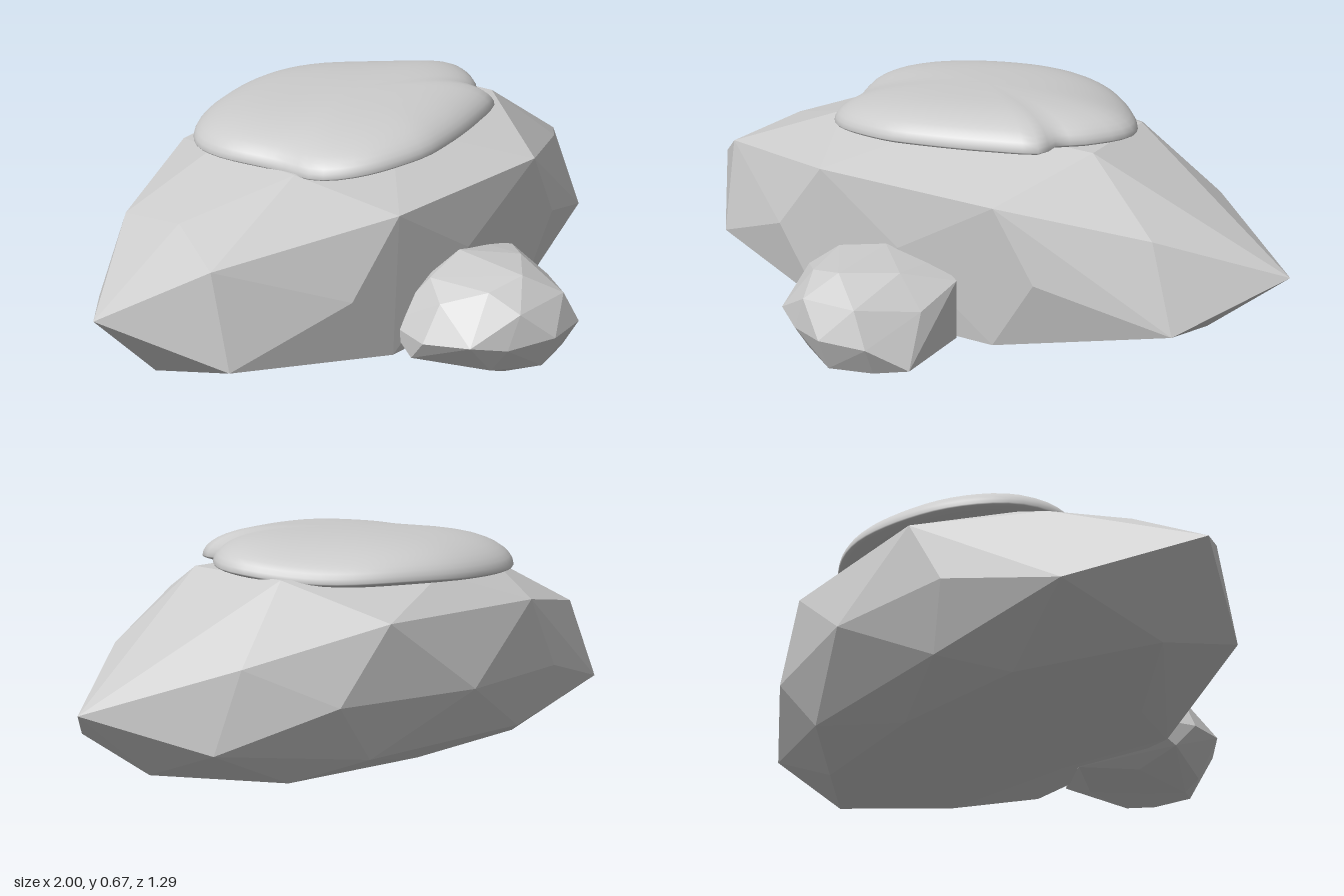
import * as THREE from 'three';
import { ConvexGeometry } from 'three/addons/geometries/ConvexGeometry.js';
import { mergeVertices } from 'three/addons/utils/BufferGeometryUtils.js';

const v = (p) => new THREE.Vector3(...p);

// Faceted stone: the hull of a few corner points
function stone(name, corners) {
  const material = new THREE.MeshStandardMaterial({ color: 0xcccccc, flatShading: true });
  const mesh = new THREE.Mesh(new ConvexGeometry(corners.map(v)), material);
  mesh.name = name;
  return mesh;
}

// Smooth, flattened blob: a sphere stretched to an irregular outline
function cap() {
  const outline = new THREE.CatmullRomCurve3([
    [-0.45, -0.25], [-0.4, -0.06], [-0.38, 0.07], [-0.28, 0.17], [-0.11, 0.22],
    [0, 0.21], [0.2, 0.16], [0.36, 0.09], [0.35, 0.04], [0.43, -0.04], [0.49, -0.17],
    [0.4, -0.36], [0.23, -0.52], [0.01, -0.58], [-0.28, -0.51], [-0.42, -0.38],
  ].map(([x, z]) => new THREE.Vector3(x, 0, z)), true);
  const geo = new THREE.SphereGeometry(1, 64, 24);
  const pos = geo.attributes.position;
  const uv = geo.attributes.uv;
  const cx = 0, cz = -0.17;
  for (let i = 0; i < pos.count; i++) {
    const c = pos.getY(i);
    const r = Math.pow(Math.max(0, 1 - c * c), 0.35);
    const p = outline.getPointAt((Math.round(uv.getX(i) * 64) % 64) / 64);
    const x = cx + (p.x - cx) * r;
    const z = cz + (p.z - cz) * r;
    const rim = 0.572 + 0.03 * x + 0.025 * (z - cz) + 0.008 * Math.sin(5 * x + 9 * z) * r;
    pos.setXYZ(i, x, rim + c * (c > 0 ? 0.1 : 0.03), z);
  }
  geo.deleteAttribute('uv');
  geo.deleteAttribute('normal');
  const smooth = mergeVertices(geo, 1e-4);
  smooth.computeVertexNormals();
  const mesh = new THREE.Mesh(smooth, new THREE.MeshStandardMaterial({ color: 0xcccccc }));
  mesh.name = 'topCap';
  return mesh;
}

export function createModel() {
  const group = new THREE.Group();
  group.name = 'rocks';

  group.add(stone('largeRock', [
    // pointed ends and the corners around them
    [-1, 0.27, -0.17], [1, 0.27, -0.17],
    [-0.69, 0.46, -0.16], [0.71, 0.41, -0.16],
    [-0.78, 0.41, 0.06], [0.69, 0.39, 0.07],
    [-0.78, 0.13, 0.12], [0.78, 0.14, 0.11],
    [-0.66, 0.41, -0.42], [0.66, 0.38, -0.42],
    [-0.75, 0.17, -0.45], [0.74, 0.16, -0.4],
    [-0.8, 0.05, -0.16], [0.76, 0.07, -0.16],
    // front
    [-0.28, 0.48, 0.285], [0.31, 0.48, 0.29],
    [-0.45, 0.27, 0.265], [0.43, 0.27, 0.27], [0, 0.3, 0.3],
    [-0.3, 0.06, 0.28], [0.3, 0.06, 0.27],
    // back
    [-0.27, 0.48, -0.6], [0.3, 0.48, -0.605],
    [-0.4, 0.27, -0.58], [0.45, 0.27, -0.57], [0.01, 0.27, -0.645],
    [-0.3, 0.1, -0.53], [0.3, 0.1, -0.53],
    // top
    [-0.4, 0.56, 0], [0.46, 0.585, 0], [0, 0.595, 0], [-0.4, 0.555, -0.33],
    [0.44, 0.58, -0.33], [0, 0.57, -0.5],
    // base
    [-0.45, 0.035, 0.06], [0.46, 0.03, 0.06], [0, 0.025, 0.12],
    [-0.45, 0.035, -0.38], [0.46, 0.035, -0.38], [0, 0.02, -0.16], [0, 0.035, -0.42],
  ]));

  group.add(stone('smallRock', [
    // crown
    [-0.04, 0.305, 0.3], [-0.19, 0.275, 0.32], [-0.04, 0.295, 0.53], [0.09, 0.285, 0.42],
    [-0.15, 0.27, 0.5], [0.1, 0.27, 0.25], [-0.24, 0.235, 0.4],
    // front
    [-0.12, 0.22, 0.59], [-0.03, 0.135, 0.645], [0.06, 0.23, 0.6], [0.11, 0.13, 0.62],
    [-0.16, 0.12, 0.58], [-0.03, 0.035, 0.6], [0.1, 0.04, 0.57], [-0.16, 0.04, 0.52],
    // sides
    [-0.3, 0.13, 0.39], [-0.25, 0.14, 0.52], [-0.28, 0.06, 0.33], [-0.26, 0.13, 0.22],
    [0.2, 0.245, 0.3], [0.2, 0.06, 0.54], [0.18, 0.2, 0.45], [0.2, 0.07, 0.3],
    // underside and buried back
    [-0.03, 0.005, 0.4], [-0.1, 0.015, 0.52], [0.08, 0.02, 0.3], [-0.15, 0.02, 0.3],
    [-0.03, 0.035, 0.17], [-0.03, 0.25, 0.2],
  ]));

  group.add(cap());
  return group;
}
